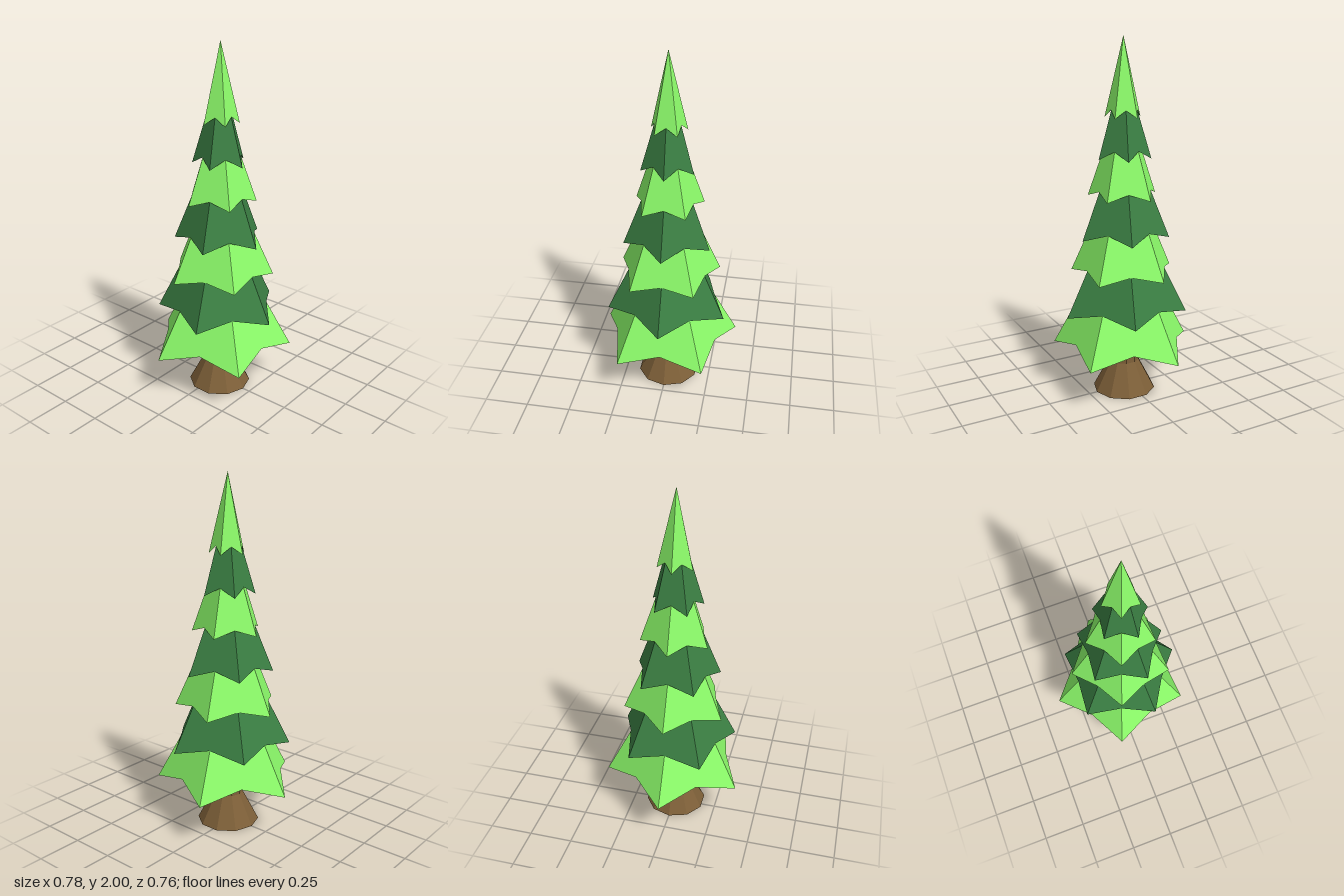
import * as THREE from 'three';

const makeMaterial = (color) => new THREE.MeshStandardMaterial({ color, flatShading: true });

function meshFromTriangles(name, triangles, material) {
  const geometry = new THREE.BufferGeometry();
  geometry.setAttribute('position', new THREE.Float32BufferAttribute(triangles.flat(2), 3));
  geometry.computeVertexNormals();
  const mesh = new THREE.Mesh(geometry, material);
  mesh.name = name;
  return mesh;
}

// Rim of a five-sided pyramid whose flat sides are notched upward between the corner tips
function notchedRim(tipR, tipY, notchY, apexY, turn) {
  const notchR = tipR * Math.cos(Math.PI / 5) * (apexY - notchY) / (apexY - tipY);
  return Array.from({ length: 10 }, (_, i) => {
    const a = ((i + turn) * Math.PI) / 5;
    const r = i % 2 ? notchR : tipR;
    return [Math.sin(a) * r, i % 2 ? notchY : tipY, Math.cos(a) * r];
  });
}

export function createModel() {
  const tree = new THREE.Group();
  tree.name = 'pineTree';
  const light = makeMaterial(0x8cfb6a);
  const dark = makeMaterial(0x3b7f43);
  const bark = makeMaterial(0x7d5f38);

  // Trunk: flared foot below a slim stem, ten-sided
  const foot = new THREE.Mesh(new THREE.CylinderGeometry(0.085, 0.177, 0.175, 10), bark);
  foot.name = 'trunkFoot';
  foot.position.y = 0.0875;
  const stem = new THREE.Mesh(new THREE.CylinderGeometry(0.069, 0.085, 0.275, 10), bark);
  stem.name = 'trunkStem';
  stem.position.y = 0.3125;
  tree.add(foot, stem);

  // Foliage tiers: tip radius, tip height, notch height, apex height, height of the hollow below
  const tiers = [
    [0.41, 0.257, 0.32, 1.02, 0.4],
    [0.352, 0.487, 0.53, 1.2, 0.76],
    [0.3, 0.705, 0.742, 1.38, 0.94],
    [0.253, 0.915, 0.96, 1.55, 1.13],
    [0.2, 1.14, 1.178, 1.71, 1.31],
    [0.151, 1.352, 1.4, 1.865, 1.5],
    [0.103, 1.572, 1.615, 2.0, 1.69],
  ];
  tiers.forEach(([tipR, tipY, notchY, apexY, hollowY], t) => {
    const tier = new THREE.Group();
    tier.name = `foliageTier${t + 1}`;
    // Successive tiers are turned by half a side
    const rim = notchedRim(tipR, tipY, notchY, apexY, (t + 1) % 2);
    const edges = rim.map((p, i) => [p, rim[(i + 1) % 10]]);
    tier.add(
      meshFromTriangles('needles', edges.map(([a, b]) => [a, b, [0, apexY, 0]]), t % 2 ? dark : light),
      meshFromTriangles('underside', edges.map(([a, b]) => [b, a, [0, hollowY, 0]]), dark),
    );
    tree.add(tier);
  });

  // Centre the uneven five-pointed outline in depth
  tree.children.forEach((part) => { part.position.z = 0.028; });
  return tree;
}
